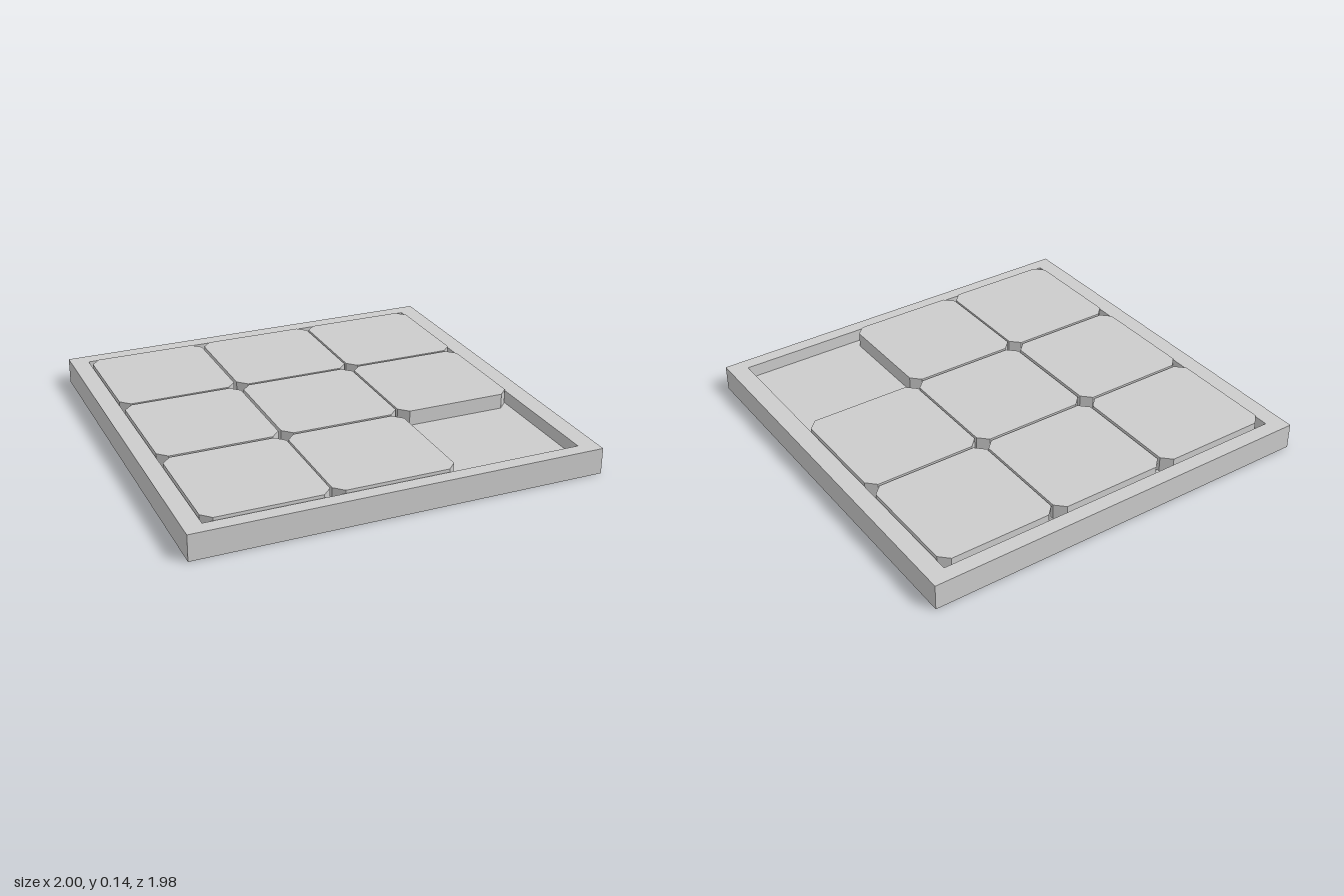
import * as THREE from 'three';

const TRAY_TOP = 0.128, FLOOR = 0.064, TILE_TOP = 0.14;
const OPEN = { x0: -0.912, x1: 0.908, z0: -0.915, z1: 0.922 };

const material = new THREE.MeshStandardMaterial({ color: 0xcccccc, flatShading: true });

// Extrudes a plan outline (x, -z) upwards from y0 to y1
function slab(name, shape, y0, y1) {
  const geometry = new THREE.ExtrudeGeometry(shape, { depth: y1 - y0, bevelEnabled: false });
  geometry.rotateX(-Math.PI / 2);
  geometry.translate(0, y0, 0);
  const mesh = new THREE.Mesh(geometry, material);
  mesh.name = name;
  return mesh;
}

function outline(points) {
  return points.map(([x, z]) => new THREE.Vector2(x, -z));
}

function rectangle(x0, x1, z0, z1) {
  return outline([[x0, z1], [x1, z1], [x1, z0], [x0, z0]]);
}

// Square with its four corners cut off
function tileShape(size, cut) {
  const h = size / 2, c = h - cut;
  return new THREE.Shape(outline([
    [-c, h], [c, h], [h, c], [h, -c], [c, -h], [-c, -h], [-h, -c], [-h, c],
  ]));
}

export function createModel() {
  const model = new THREE.Group();
  model.name = 'slidingPuzzle';

  // Tray: rim around a recessed floor
  const tray = new THREE.Group();
  tray.name = 'tray';
  const rim = new THREE.Shape(rectangle(-1, 1, -0.99, 0.99));
  const { x0, x1, z0, z1 } = OPEN;
  rim.holes.push(new THREE.Path(rectangle(x0, x1, z0, z1).reverse()));
  tray.add(slab('trayRim', rim, 0, TRAY_TOP));
  tray.add(slab('trayFloor', new THREE.Shape(rectangle(x0, x1, z0, z1)), 0, FLOOR));
  model.add(tray);

  // Eight sliding tiles; the front right slot stays empty
  const tiles = new THREE.Group();
  tiles.name = 'tiles';
  const columns = [-0.609, 0, 0.605];
  const rows = [-0.597, 0.01, 0.618];
  const shape = tileShape(0.595, 0.045);
  rows.forEach((z, r) => columns.forEach((x, c) => {
    if (r === 2 && c === 2) return;
    const tile = slab(`tile${r * 3 + c + 1}`, shape, FLOOR, TILE_TOP);
    tile.position.set(r === 2 && c === 1 ? x - 0.005 : x, 0, z);
    tiles.add(tile);
  }));
  model.add(tiles);

  return model;
}
